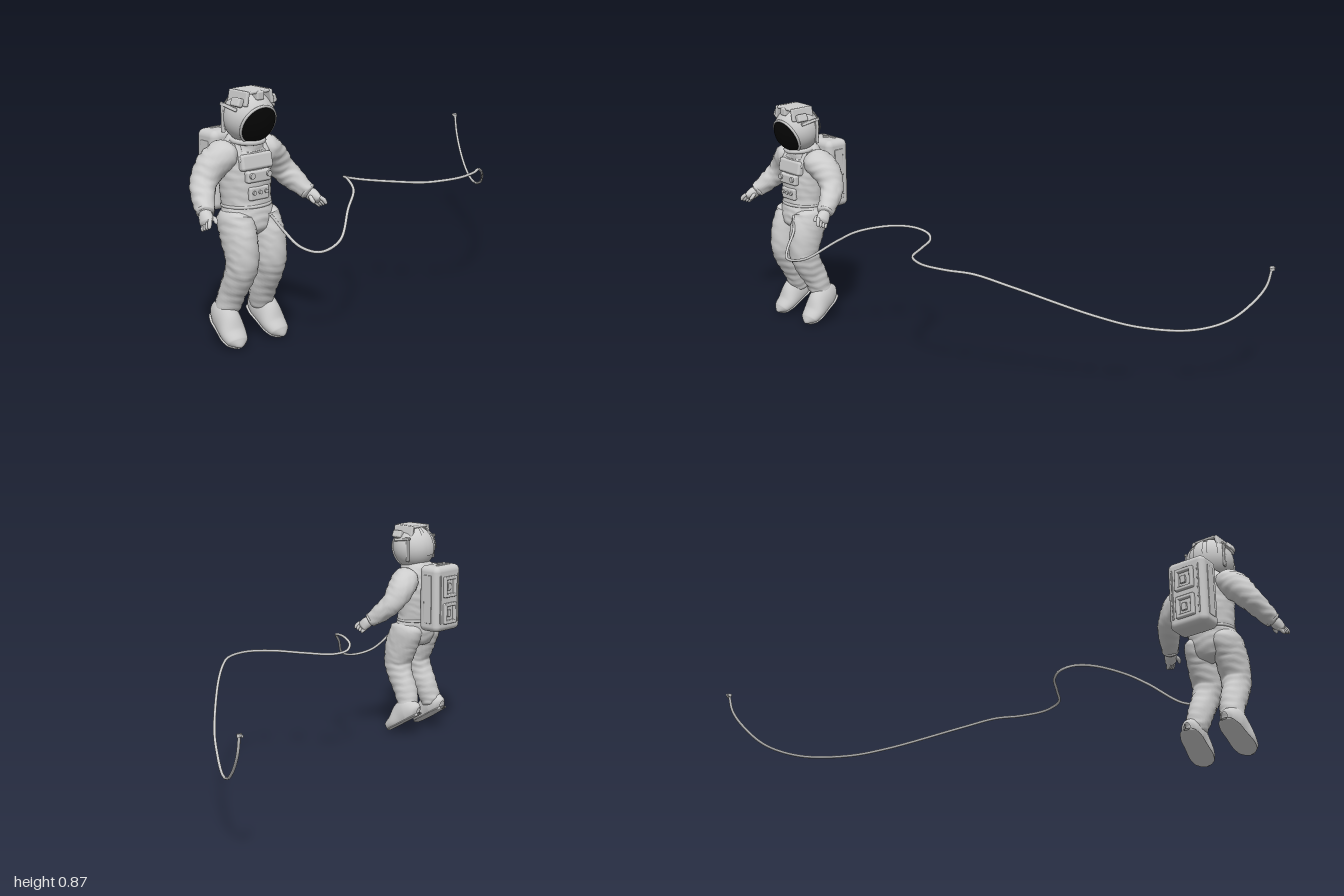
import * as THREE from 'three';
import { RoundedBoxGeometry } from 'three/addons/geometries/RoundedBoxGeometry.js';

const V = (x, y, z) => new THREE.Vector3(x, y, z);
const grey = new THREE.MeshStandardMaterial({ color: 0xcccccc, side: THREE.DoubleSide });
const black = new THREE.MeshStandardMaterial({ color: 0x050505 });

function add(parent, name, geometry, position = [0, 0, 0], rotation = [0, 0, 0], material = grey) {
  const mesh = new THREE.Mesh(geometry, material);
  mesh.name = name;
  mesh.position.set(...position);
  mesh.rotation.set(...rotation);
  parent.add(mesh);
  return mesh;
}

const rounded = (w, h, d, r = 0.006) => new RoundedBoxGeometry(w, h, d, 3, r);

// Soft fabric folds as a function of position
function folds(p) {
  const warp = Math.sin(p.x * 47 + p.z * 31) * 1.6 + Math.sin(p.z * 83 - p.y * 29);
  return Math.sin(p.y * 210 + warp) * 0.6 + Math.sin(p.x * 120 + p.y * 75 + warp * 1.4) * 0.4;
}

// Smooth body through elliptical rings [x, y, z, radiusA, radiusB]
function loft(rings, { fold = 0, ref = V(0, 0, 1), steps = 8, sides = 28, floor = -Infinity } = {}) {
  const path = new THREE.CatmullRomCurve3(rings.map(r => V(r[0], r[1], r[2])));
  const size = new THREE.CatmullRomCurve3(rings.map(r => V(r[3], r[4], 0)));
  const rows = (rings.length - 1) * steps, pos = [], idx = [];
  for (let i = 0; i <= rows; i++) {
    const c = path.getPoint(i / rows), s = size.getPoint(i / rows), t = path.getTangent(i / rows);
    const a = V().crossVectors(t, ref).normalize(), b = V().crossVectors(t, a);
    for (let j = 0; j < sides; j++) {
      const q = j / sides * Math.PI * 2;
      const d = V().addScaledVector(a, Math.cos(q) * s.x).addScaledVector(b, Math.sin(q) * s.y);
      const p = c.clone().add(d);
      p.addScaledVector(d.normalize(), fold * folds(p));
      pos.push(p.x, Math.max(p.y, floor), p.z);
      if (i < rows) {
        const k = i * sides + j, n = i * sides + (j + 1) % sides;
        idx.push(k, n, k + sides, n, n + sides, k + sides);
      }
    }
  }
  const g = new THREE.BufferGeometry();
  g.setAttribute('position', new THREE.Float32BufferAttribute(pos, 3));
  g.setIndex(idx);
  g.computeVertexNormals();
  return g;
}

// Band facing along a direction
function band(parent, name, at, dir, radius, tube) {
  const m = add(parent, name, new THREE.TorusGeometry(radius, tube, 8, 32), at);
  m.quaternion.setFromUnitVectors(V(0, 0, 1), V(...dir).normalize());
  return m;
}

function buildHelmet() {
  const head = new THREE.Group();
  head.name = 'helmet';
  head.position.set(0, 0.772, 0.29);
  const R = 0.088, tilt = 0.41, open = 0.91;
  add(head, 'helmetShell', new THREE.SphereGeometry(R, 40, 28));
  // Dark visor cap and its rim, tipped downward
  add(head, 'visor', new THREE.SphereGeometry(R + 0.001, 40, 16, 0, Math.PI * 2, 0, open),
    [0, 0, 0], [Math.PI / 2 + tilt, 0, 0], black);
  const d = R * Math.cos(open);
  band(head, 'visorRim', [0, -Math.sin(tilt) * d, Math.cos(tilt) * d],
    [0, -Math.sin(tilt), Math.cos(tilt)], R * Math.sin(open), 0.005);
  // Equipment frame over the crown
  add(head, 'crownPlate', rounded(0.085, 0.012, 0.1), [0, 0.089, 0.012]);
  add(head, 'crownCamera', rounded(0.03, 0.03, 0.03), [0, 0.077, 0.052]);
  for (const s of [-1, 1]) {
    add(head, 'crownSide', rounded(0.014, 0.05, 0.1), [s * 0.051, 0.069, 0.012], [0, 0, s * 0.2]);
    add(head, 'lamp', rounded(0.022, 0.03, 0.045), [s * 0.07, 0.058, 0.028], [0, 0, s * 0.4]);
    add(head, 'sideBar', rounded(0.008, 0.012, 0.085, 0.003), [s * 0.08, 0.04, -0.005], [0.15, 0, s * 0.4]);
    add(head, 'sideStrap', rounded(0.009, 0.1, 0.014, 0.003), [s * 0.08, 0, -0.035], [0, s * -0.15, 0]);
  }
  // Curved panels down the back
  for (const k of [-1, 0, 1])
    add(head, 'backPanel', new THREE.SphereGeometry(R + 0.005, 10, 20,
      Math.PI * 1.5 + k * 0.62 - 0.22, 0.44, 0.35, 1.5 - Math.abs(k) * 0.25));
  return head;
}

function buildBackpack() {
  const pack = new THREE.Group();
  pack.name = 'backpack';
  pack.position.set(0, 0.578, 0.148);
  add(pack, 'packBody', new RoundedBoxGeometry(0.155, 0.272, 0.1, 5, 0.024));
  add(pack, 'packCap', new THREE.CylinderGeometry(0.012, 0.012, 0.01, 16), [0, 0.137, 0]);
  add(pack, 'topHandle', rounded(0.08, 0.008, 0.012, 0.003), [0, 0.136, -0.015]);
  for (const s of [-1, 1])
    add(pack, 'sidePanel', rounded(0.006, 0.2, 0.04, 0.003), [s * 0.077, 0, 0]);
  // Two raised frames on the rear face
  for (const y of [0.05, -0.06]) {
    for (const s of [-1, 1]) {
      add(pack, 'rearFrameSide', rounded(0.014, 0.085, 0.018, 0.004), [s * 0.031, y, -0.054]);
      add(pack, 'rearFrameBar', rounded(0.072, 0.014, 0.018, 0.004), [0, y + s * 0.036, -0.054]);
    }
    add(pack, 'rearLatch', rounded(0.022, 0.03, 0.012, 0.003), [0.006, y, -0.052]);
  }
  for (const s of [-1, 1])
    add(pack, 'rearRail', rounded(0.007, 0.2, 0.008, 0.003), [s * 0.055, 0, -0.05]);
  return pack;
}

function buildLimbs(body, s) {
  const side = s > 0 ? 'left' : 'right';
  const mirror = rings => rings.map(([x, ...rest]) => [x * s, ...rest]);
  // Leg
  add(body, side + 'Leg', loft(mirror([
    [0.045, 0.46, 0.275, 0.03, 0.05], [0.054, 0.43, 0.278, 0.055, 0.074], [0.058, 0.37, 0.302, 0.056, 0.073],
    [0.06, 0.29, 0.32, 0.054, 0.06], [0.063, 0.24, 0.306, 0.049, 0.055], [0.066, 0.18, 0.274, 0.046, 0.05],
    [0.073, 0.115, 0.25, 0.042, 0.043], [0.076, 0.09, 0.24, 0.03, 0.03]]), { fold: 0.0022 }));
  // Boot with a flat sole, toes tipped down and slightly out
  const boot = new THREE.Group();
  boot.name = side + 'Boot';
  boot.position.set(s * 0.076, 0.088, 0.186);
  boot.rotation.set(0.54, s * 0.1, 0, 'YXZ');
  const sections = [[0, 0.03, 0.012], [0.01, 0.055, 0.03], [0.045, 0.092, 0.042], [0.08, 0.084, 0.043],
    [0.125, 0.054, 0.046], [0.158, 0.04, 0.038], [0.172, 0.025, 0.02], [0.175, 0.012, 0.003]];
  add(boot, 'bootUpper', loft(sections.map(([z, h, w]) => [0, h * 0.36, z, w, h * 0.64]),
    { ref: V(0, 1, 0), floor: 0 }));
  add(boot, 'bootSole', loft(sections.map(([z, , w]) => [0, 0.003, z, w + 0.001, 0.006]), { ref: V(0, 1, 0) }));
  body.add(boot);
  // Arm
  add(body, side + 'Arm', loft(mirror([
    [0.05, 0.655, 0.262, 0.03, 0.04], [0.085, 0.648, 0.26, 0.052, 0.06], [0.125, 0.618, 0.25, 0.053, 0.058],
    [0.168, 0.565, 0.258, 0.044, 0.047], [0.195, 0.525, 0.292, 0.038, 0.04], [0.218, 0.488, 0.334, 0.028, 0.03],
    [0.222, 0.482, 0.341, 0.015, 0.015]]), { fold: 0.0022 }));
  band(body, side + 'Cuff', [s * 0.217, 0.49, 0.332], [s * 0.023, -0.036, 0.042], 0.025, 0.006);
  // Glove: palm, four curled fingers and a thumb
  add(body, side + 'Palm', loft(mirror([
    [0.216, 0.492, 0.33, 0.018, 0.018], [0.226, 0.478, 0.346, 0.022, 0.024], [0.236, 0.463, 0.362, 0.016, 0.025],
    [0.24, 0.456, 0.368, 0.006, 0.012]])));
  const finger = (name, a, b, c) => add(body, side + name, loft(mirror([
    [...a, 0.007, 0.007], [...b, 0.0075, 0.0075], [...c, 0.006, 0.006],
    [c[0], c[1] - 0.005, c[2] + 0.002, 0.001, 0.001]]), { sides: 10, steps: 4 }));
  for (let i = 0; i < 4; i++) {
    const u = (i - 1.5) * 0.012;
    finger('Finger', [0.233, 0.466 + u * 0.5, 0.36 + u], [0.242, 0.456 + u * 0.5, 0.37 + u],
      [0.247, 0.446 + u * 0.4, 0.374 + u]);
  }
  finger('Thumb', [0.212, 0.478, 0.352], [0.205, 0.47, 0.366], [0.207, 0.46, 0.376]);
}

function buildTether() {
  const tether = new THREE.Group();
  tether.name = 'tether';
  const points = [[-0.71, 0.44, 0.35], [-0.68, 0.39, 0.375], [-0.65, 0.335, 0.43], [-0.6, 0.315, 0.47],
    [-0.5, 0.335, 0.46], [-0.395, 0.415, 0.385], [-0.33, 0.457, 0.34], [-0.26, 0.472, 0.23],
    [-0.21, 0.46, 0.155], [-0.165, 0.445, 0.134], [-0.12, 0.436, 0.16], [-0.06, 0.436, 0.257],
    [0, 0.44, 0.353], [0.07, 0.445, 0.395], [0.128, 0.447, 0.406], [0.22, 0.447, 0.385],
    [0.3, 0.44, 0.333], [0.406, 0.4, 0.25], [0.62, 0.295, 0.043], [0.72, 0.25, -0.078],
    [0.834, 0.232, -0.225], [0.91, 0.26, -0.335], [0.955, 0.32, -0.41], [0.98, 0.38, -0.453], [0.988, 0.445, -0.47]];
  const curve = new THREE.CatmullRomCurve3(points.map(p => V(...p)));
  add(tether, 'tetherLine', new THREE.TubeGeometry(curve, 260, 0.0052, 10));
  add(tether, 'tetherConnector', new THREE.CylinderGeometry(0.009, 0.009, 0.012, 16), [0.988, 0.443, -0.47], [0.2, 0, 0]);
  add(tether, 'tetherPlug', new THREE.CylinderGeometry(0.005, 0.005, 0.02, 12), [0.988, 0.443, -0.474], [Math.PI / 2, 0, 0]);
  return tether;
}

export function createModel() {
  const model = new THREE.Group();
  model.name = 'tetheredAstronaut';
  const body = new THREE.Group();
  body.name = 'astronaut';
  body.position.x = -0.75;
  // Torso
  add(body, 'torso', loft([[0, 0.36, 0.29, 0.02, 0.02], [0, 0.385, 0.285, 0.075, 0.068],
    [0, 0.43, 0.277, 0.1, 0.076], [0, 0.48, 0.27, 0.09, 0.072], [0, 0.56, 0.265, 0.096, 0.076],
    [0, 0.63, 0.262, 0.1, 0.07], [0, 0.67, 0.262, 0.085, 0.062], [0, 0.7, 0.275, 0.055, 0.05],
    [0, 0.71, 0.28, 0.04, 0.04]], { fold: 0.002, sides: 40 }));
  band(body, 'neckRing', [0, 0.694, 0.278], [0, 1, 0.1], 0.056, 0.009);
  band(body, 'waistRing', [0, 0.475, 0.27], [0, 1, 0], 0.087, 0.006).scale.y = 0.84;
  // Chest equipment
  add(body, 'chestPlate', rounded(0.13, 0.055, 0.03, 0.01), [0, 0.625, 0.322], [-0.2, 0, 0]);
  add(body, 'chestUnit', rounded(0.1, 0.04, 0.028, 0.008), [0, 0.578, 0.334]);
  add(body, 'controlBox', rounded(0.08, 0.046, 0.026, 0.007), [0, 0.52, 0.333]);
  for (const x of [-0.025, 0, 0.025])
    add(body, 'controlKnob', new THREE.CylinderGeometry(0.007, 0.007, 0.008, 14), [x, 0.524, 0.348], [Math.PI / 2, 0, 0]);
  for (const s of [-1, 1]) {
    add(body, 'chestConnector', new THREE.CylinderGeometry(0.01, 0.01, 0.012, 16), [s * 0.035, 0.583, 0.349], [Math.PI / 2, 0, 0]);
    add(body, 'shoulderStrap', rounded(0.018, 0.07, 0.01, 0.004), [s * 0.055, 0.66, 0.308], [-0.55, 0, s * 0.1]);
    buildLimbs(body, s);
  }
  body.add(buildHelmet(), buildBackpack());
  model.add(body, buildTether());
  return model;
}
